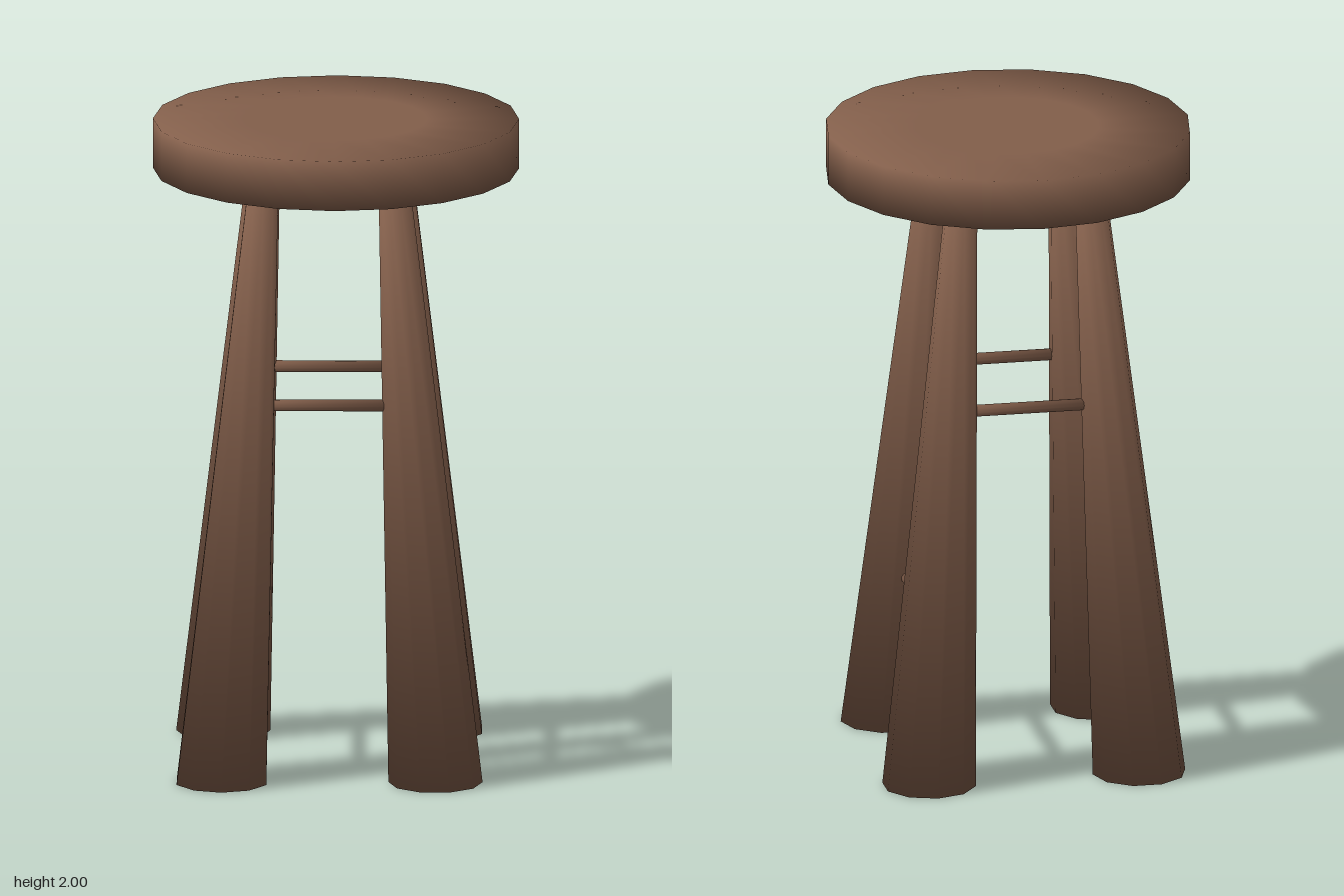
import * as THREE from 'three';

const wood = new THREE.MeshStandardMaterial({ color: 0x835f4b });
wood.name = 'brown wood';

// Capped solid of revolution whose normals are blended across the rims.
// inner > 0 adds a flat ring to each cap.
function turned(rBottom, rTop, y0, y1, sides, inner = 0) {
  const s = Math.SQRT1_2;
  const rings = [[0, y0, 0, -1]]; // radius, height, outward normal, upward normal
  if (inner) rings.push([inner, y0, 0, -1]);
  rings.push([rBottom, y0, s, -s], [rTop, y1, s, s]);
  if (inner) rings.push([inner, y1, 0, 1]);
  rings.push([0, y1, 0, 1]);

  const geo = new THREE.LatheGeometry(rings.map(([r, y]) => new THREE.Vector2(r, y)), sides);
  const normal = geo.attributes.normal;
  for (let i = 0; i <= sides; i++) {
    const a = (i / sides) * Math.PI * 2;
    rings.forEach(([, , out, up], j) => {
      normal.setXYZ(i * rings.length + j, out * Math.sin(a), up, out * Math.cos(a));
    });
  }
  return geo;
}

export function createModel() {
  const group = new THREE.Group();
  const add = (name, geo) => {
    const mesh = new THREE.Mesh(geo, wood);
    mesh.name = name;
    group.add(mesh);
    return mesh;
  };

  const seatBase = 1.845, legHeight = 1.85;
  // Leg centre lines, slightly off centre as a set
  const legX = (side, y) => THREE.MathUtils.lerp(side > 0 ? 0.307 : -0.347, side > 0 ? 0.18 : -0.22, y / legHeight);
  const legZ = (side, y) => THREE.MathUtils.lerp(side > 0 ? 0.357 : -0.31, side > 0 ? 0.23 : -0.182, y / legHeight);

  // Seat
  add('seat', turned(0.56, 0.56, seatBase, 2, 20, 0.28));

  // Splayed, tapering legs
  for (const sx of [-1, 1]) {
    for (const sz of [-1, 1]) {
      const geo = turned(0.144, 0.048, 0, legHeight, 10);
      if (sx === sz) geo.rotateY(Math.PI / 2);
      const x = legX(sx, 0), z = legZ(sz, 0);
      const kx = (legX(sx, legHeight) - x) / legHeight;
      const kz = (legZ(sz, legHeight) - z) / legHeight;
      geo.applyMatrix4(new THREE.Matrix4().set(
        1, kx, 0, x,
        0, 1, 0, 0,
        0, kz, 1, z,
        0, 0, 0, 1));
      add((sz > 0 ? 'front' : 'back') + (sx > 0 ? 'Left' : 'Right') + 'Leg', geo);
    }
  }

  // Rungs: upper pair runs side to side, lower pair front to back
  const rung = (name, from, to) => {
    const length = from.distanceTo(to);
    const mesh = add(name, turned(0.018, 0.018, -length / 2, length / 2, 10));
    mesh.position.copy(from).add(to).multiplyScalar(0.5);
    mesh.quaternion.setFromUnitVectors(new THREE.Vector3(0, 1, 0), to.clone().sub(from).normalize());
  };
  const point = (sx, y, sz) => new THREE.Vector3(legX(sx, y), y, legZ(sz, y));
  for (const s of [-1, 1]) {
    rung(s > 0 ? 'frontUpperRung' : 'backUpperRung', point(-1, 1.165, s), point(1, 1.165, s));
    rung(s > 0 ? 'leftLowerRung' : 'rightLowerRung', point(s, 0.495, -1), point(s, 0.495, 1));
  }
  return group;
}
